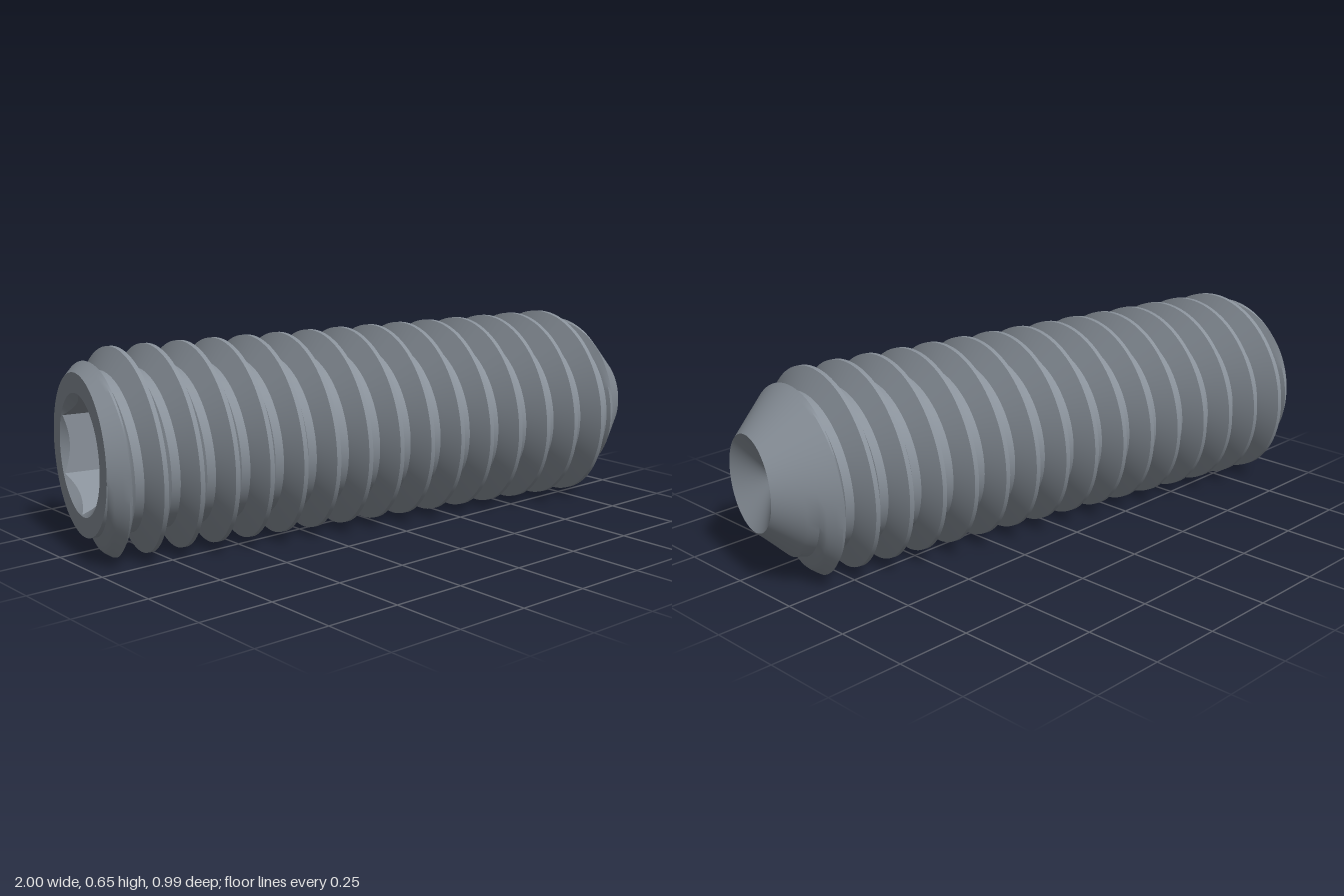
import * as THREE from 'three';
import { toCreasedNormals } from 'three/addons/utils/BufferGeometryUtils.js';

const SEGMENTS = 96;
const REAR = -0.966, TIP = 0.99;            // ends along the screw axis
const CREST = 0.325, ROOT = 0.255;          // thread radii
const PITCH = 0.114, PHASE = -0.041;        // crest position at the top
const RIM = 0.192, APOTHEM = 0.163, DEPTH = 0.45; // hexagon socket
const CUP = 0.154;
const TILT = 0.213;

// Surface around the x axis. point(row, angle) gives [axial, radius];
// rows run from the rear, over the outside, to the tip.
function sweep(rows, point) {
  const pos = [];
  const at = (j, i) => {
    const a = (i / SEGMENTS) * Math.PI * 2;
    const [s, r] = point(j, a);
    return new THREE.Vector3(s, r * Math.cos(a), r * Math.sin(a));
  };
  const tri = (a, b, c) => {
    const area = b.clone().sub(a).cross(c.clone().sub(a)).length();
    if (area > 1e-8) pos.push(...a.toArray(), ...b.toArray(), ...c.toArray());
  };
  for (let j = 0; j < rows - 1; j++) {
    for (let i = 0; i < SEGMENTS; i++) {
      const a = at(j, i), b = at(j, i + 1), c = at(j + 1, i + 1), d = at(j + 1, i);
      tri(a, b, c);
      tri(a, c, d);
    }
  }
  const geo = new THREE.BufferGeometry();
  geo.setAttribute('position', new THREE.Float32BufferAttribute(pos, 3));
  return toCreasedNormals(geo, 0.45);
}

// Thread radius, trimmed by the chamfers at both ends
function shaftRadius(s, angle) {
  const turn = (s - PHASE) / PITCH - angle / (Math.PI * 2);
  const f = Math.abs(turn - Math.round(turn)); // 0 at crest, 0.5 at root
  const k = THREE.MathUtils.clamp((f - 0.0625) / 0.3125, 0, 1);
  const thread = CREST + (ROOT - CREST) * k;
  return Math.min(thread, ROOT + (s - REAR), CUP + (TIP - s) * 0.97);
}

// Radius of a hexagon with corners at top and bottom
function hexRadius(angle) {
  const sector = Math.PI / 3;
  const a = ((angle % sector) + sector) % sector;
  return APOTHEM / Math.cos(a - sector / 2);
}

export function createModel() {
  const steel = new THREE.MeshStandardMaterial({ color: 0x89919a });
  steel.name = 'steel grey';
  const screw = new THREE.Group();
  screw.name = 'setScrew';
  const add = (name, geo) => {
    const mesh = new THREE.Mesh(geo, steel);
    mesh.name = name;
    screw.add(mesh);
  };

  // Helical thread: grid rows follow the crest and root edges
  const knots = [-0.0625, 0.0625];
  for (let i = 1; i <= 5; i++) knots.push(0.0625 + 0.0625 * i);
  for (let i = 0; i < 5; i++) knots.push(0.625 + 0.0625 * i);
  const n = knots.length, firstTurn = -10, turns = 20;
  add('threadedShaft', sweep(turns * n, (j, a) => {
    const turn = firstTurn + Math.floor(j / n) + knots[j % n] + a / (Math.PI * 2);
    const s = THREE.MathUtils.clamp(PHASE + PITCH * turn, REAR, TIP);
    return [s, shaftRadius(s, a)];
  }));

  // Flat ring around the socket
  add('rearFace', sweep(2, (j) => [REAR, j ? ROOT : RIM]));

  // Socket: drilled bottom, hexagonal walls, conical lead-in
  add('hexSocket', sweep(4, (j, a) => {
    const h = hexRadius(a);
    return [
      [REAR + DEPTH + 0.09, 0],
      [REAR + DEPTH, h],
      [REAR + (RIM - h) * 0.8, h],
      [REAR, RIM],
    ][j];
  }));

  // Hollow conical point
  add('cupPoint', sweep(2, (j) => (j ? [TIP - 0.088, 0] : [TIP, CUP])));

  screw.rotation.y = -TILT;
  screw.position.set(0, CREST, 0);
  const model = new THREE.Group();
  model.name = 'model';
  model.add(screw);
  return model;
}
